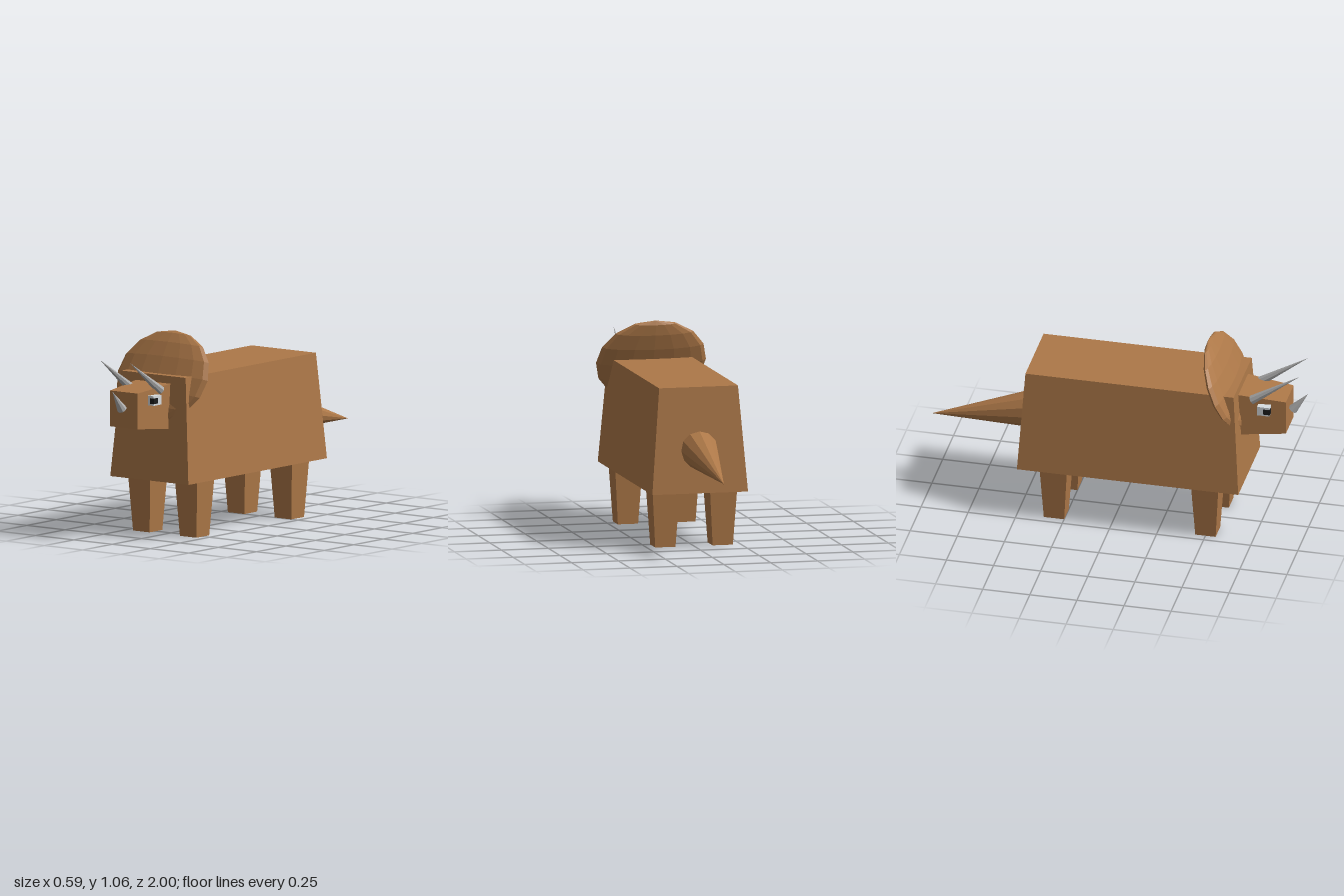
import * as THREE from 'three';

const material = (name, color) => {
  const m = new THREE.MeshStandardMaterial({ color });
  m.name = name;
  return m;
};

// Split faces apart so every facet is flat
const flat = (geometry) => {
  const g = geometry.index ? geometry.toNonIndexed() : geometry;
  g.computeVertexNormals();
  return g;
};

// Box whose bottom (w0 x d0) and top (w1 x d1) differ in size
const taperedBox = (w0, d0, w1, d1, height) => {
  const g = new THREE.BoxGeometry(1, height, 1);
  const p = g.attributes.position;
  for (let i = 0; i < p.count; i++) {
    const top = p.getY(i) > 0;
    p.setX(i, p.getX(i) * (top ? w1 : w0));
    p.setZ(i, p.getZ(i) * (top ? d1 : d0));
  }
  return flat(g);
};

export function createModel() {
  const model = new THREE.Group();
  model.name = 'hornedDinosaur';
  const hide = material('brown hide', 0xad7848);
  const horn = material('grey horn', 0xb0b0b0);
  const eyeWhite = material('eye white', 0xd8dde0);
  const pupilBlack = material('pupil black', 0x1c1c1c);

  const add = (name, geometry, mat, x, y, z) => {
    const mesh = new THREE.Mesh(geometry, mat);
    mesh.name = name;
    mesh.position.set(x, y, z);
    model.add(mesh);
    return mesh;
  };

  // Cone from a base centre to a tip
  const spike = (name, mat, from, to, radius, sides) => {
    const a = new THREE.Vector3(...from);
    const b = new THREE.Vector3(...to);
    const dir = b.clone().sub(a);
    const mid = a.clone().add(b).multiplyScalar(0.5);
    const g = flat(new THREE.ConeGeometry(radius, dir.length(), sides));
    const mesh = add(name, g, mat, mid.x, mid.y, mid.z);
    mesh.quaternion.setFromUnitVectors(new THREE.Vector3(0, 1, 0), dir.normalize());
  };

  // Body, wider at the belly
  add('body', taperedBox(0.51, 1.175, 0.42, 1.105, 0.552), hide, 0, 0.572, 0.0975);

  // Head, narrowing towards the snout
  const head = add('head', taperedBox(0.23, 0.242, 0.18, 0.187, 0.28), hide, 0, 0.691, 0.76);
  head.rotation.x = Math.PI / 2;

  // Neck frill: a flattened ball leaning back
  const frillShape = new THREE.SphereGeometry(1, 16, 8).scale(0.293, 0.248, 0.046);
  add('neckFrill', flat(frillShape), hide, 0, 0.83, 0.57).rotation.x = -0.42;

  // Tail and nose horn
  spike('tail', hide, [0, 0.52, -0.46], [0, 0.42, -1], 0.1, 12);
  spike('noseHorn', horn, [0, 0.696, 0.916], [0, 0.797, 0.997], 0.026, 8);

  // Paired parts
  for (const [side, s] of [['left', 1], ['right', -1]]) {
    for (const [end, z] of [['Front', 0.5], ['Back', -0.304]]) {
      add(side + end + 'Leg', taperedBox(0.108, 0.108, 0.148, 0.148, 0.32), hide, s * 0.153, 0.16, z);
    }
    spike(side + 'BrowHorn', horn, [s * 0.099, 0.783, 0.722], [s * 0.099, 0.953, 0.975], 0.025, 8);
    add(side + 'Eye', flat(new THREE.BoxGeometry(0.045, 0.05, 0.066)), eyeWhite, s * 0.1125, 0.74, 0.79);
    add(side + 'Pupil', flat(new THREE.BoxGeometry(0.026, 0.029, 0.037)), pupilBlack, s * 0.125, 0.739, 0.8075);
  }
  return model;
}
